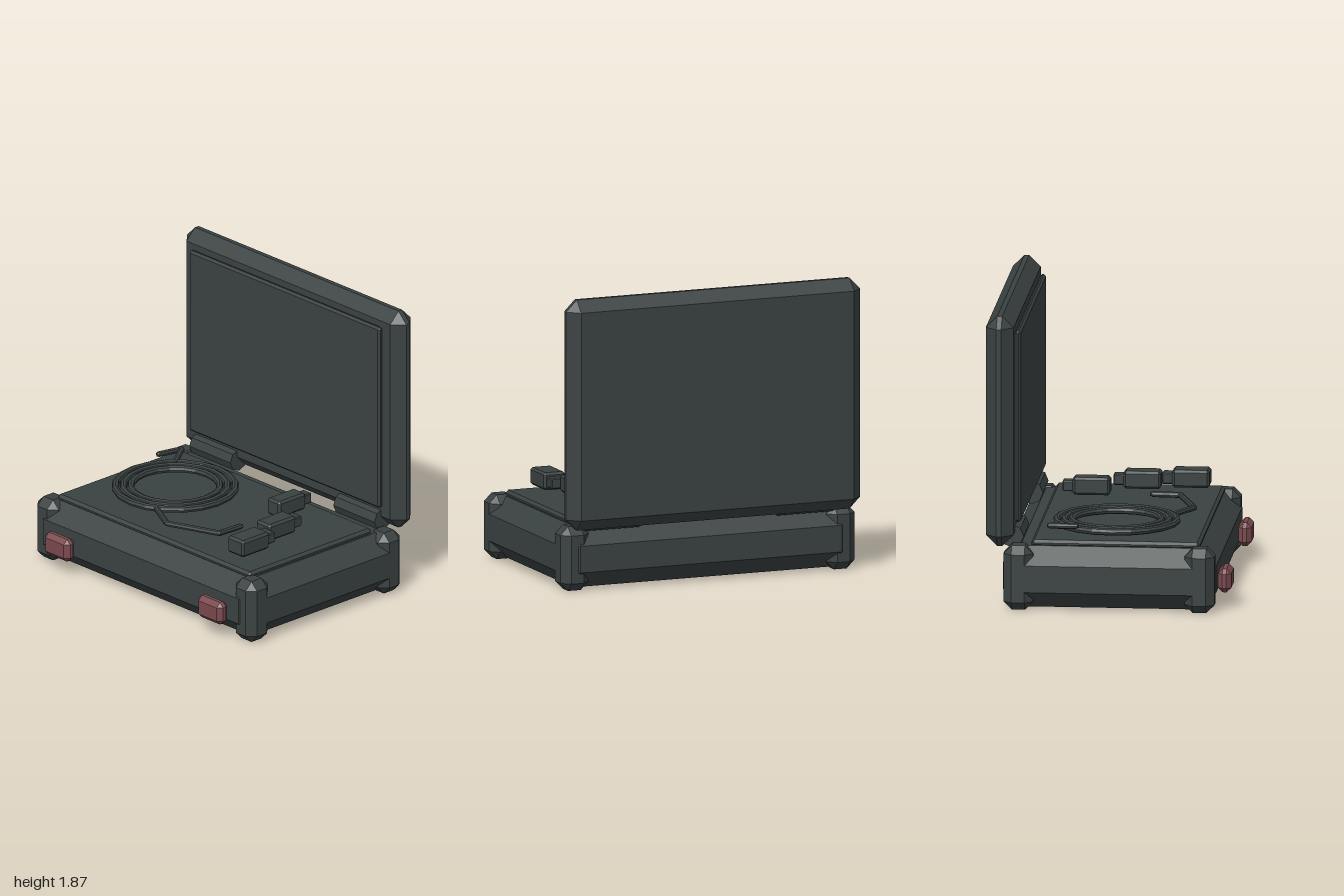
import * as THREE from 'three';
import { ConvexGeometry } from 'three/addons/geometries/ConvexGeometry.js';

const flat = (name, color) => {
  const m = new THREE.MeshStandardMaterial({ color, flatShading: true });
  m.name = name;
  return m;
};

// Box given by its extents, with every edge cut at 45 degrees by c
function chamferBox([x0, x1], [y0, y1], [z0, z1], c) {
  const a = (x1 - x0) / 2, b = (y1 - y0) / 2, d = (z1 - z0) / 2;
  const pts = [];
  for (const i of [-1, 1]) for (const j of [-1, 1]) for (const k of [-1, 1]) {
    pts.push(
      new THREE.Vector3(i * a, j * (b - c), k * (d - c)),
      new THREE.Vector3(i * (a - c), j * b, k * (d - c)),
      new THREE.Vector3(i * (a - c), j * (b - c), k * d));
  }
  return new ConvexGeometry(pts).translate((x0 + x1) / 2, (y0 + y1) / 2, (z0 + z1) / 2);
}

export function createModel() {
  const group = new THREE.Group();
  group.name = 'openCase';
  const grey = flat('darkGrey', 0x3a4241);
  const red = flat('latchRed', 0x7a4a4f);

  const add = (name, geometry, material = grey) => {
    const mesh = new THREE.Mesh(geometry, material);
    mesh.name = name;
    group.add(mesh);
    return mesh;
  };

  // Base shell and raised inner tray
  add('base', chamferBox([-1, 1], [0.01, 0.4], [-0.66, 0.68], 0.11));
  add('tray', chamferBox([-0.88, 0.88], [0.385, 0.432], [-0.485, 0.575], 0.018));

  // Open lid and its inner panel
  add('lid', chamferBox([-1, 1], [0.4, 1.87], [-0.765, -0.59], 0.072));
  add('lidPanel', chamferBox([-0.87, 0.87], [0.54, 1.765], [-0.588, -0.55], 0.014));

  for (const side of [-1, 1]) {
    const label = side > 0 ? 'left' : 'right';
    const span = (a, b) => (side > 0 ? [a, b] : [-b, -a]);

    // Corner guards
    add(label + 'FrontGuard', chamferBox(span(0.81, 1), [0, 0.41], [0.485, 0.674], 0.052));
    add(label + 'BackGuard', chamferBox(span(0.81, 1), [0, 0.41], [-0.652, -0.465], 0.052));

    // Front latches
    add(label + 'Latch', chamferBox(span(0.585, 0.81), [0.1, 0.25], [0.68, 0.765], 0.03), red);

    // Hinge barrels
    const hinge = add(label + 'Hinge', new THREE.CylinderGeometry(0.073, 0.073, 0.375, 8));
    hinge.rotation.z = Math.PI / 2;
    hinge.position.set(side * 0.657, 0.447, -0.607);
  }

  // Coiled cable
  [0.378, 0.328, 0.28].forEach((radius, i) => {
    const coil = add('cableCoil' + (i + 1), new THREE.TorusGeometry(radius, 0.023, 8, 20));
    coil.rotation.x = Math.PI / 2;
    coil.position.set(-0.395, 0.47, 0.01);
  });

  // Straight cable runs between points, one rod per run
  const cableRun = (name, points) => {
    const p = points.map((v) => new THREE.Vector3(...v));
    for (let i = 0; i + 1 < p.length; i++) {
      const path = new THREE.LineCurve3(p[i], p[i + 1]);
      add(name + (i + 1), new THREE.TubeGeometry(path, 1, 0.019, 8));
      // Closed ends
      for (const end of [p[i], p[i + 1]]) {
        add(name + 'End', new THREE.IcosahedronGeometry(0.019, 0)).position.copy(end);
      }
    }
  };
  cableRun('innerCable', [[-0.78, 0.505, -0.21], [-0.75, 0.5, -0.38], [-0.65, 0.475, -0.22]]);
  cableRun('outerCable', [[-0.21, 0.47, 0.345], [0.005, 0.47, 0.46], [0.355, 0.475, 0.34], [0.365, 0.475, 0.165]]);

  // Loose plugs with narrower tips
  [[0.378, -0.1, 0.058], [0.6, 0.2, 0.065], [0.668, 0.5, 0.073]].forEach(([x, z, half], i) => {
    add('plugBody' + (i + 1), chamferBox([x - half, x + half], [0.468, 0.58], [z - 0.235, z], 0.015));
    const tip = half - 0.02;
    add('plugTip' + (i + 1), chamferBox([x - tip, x + tip], [0.487, 0.555], [z - 0.3, z - 0.22], 0.007));
  });

  return group;
}
